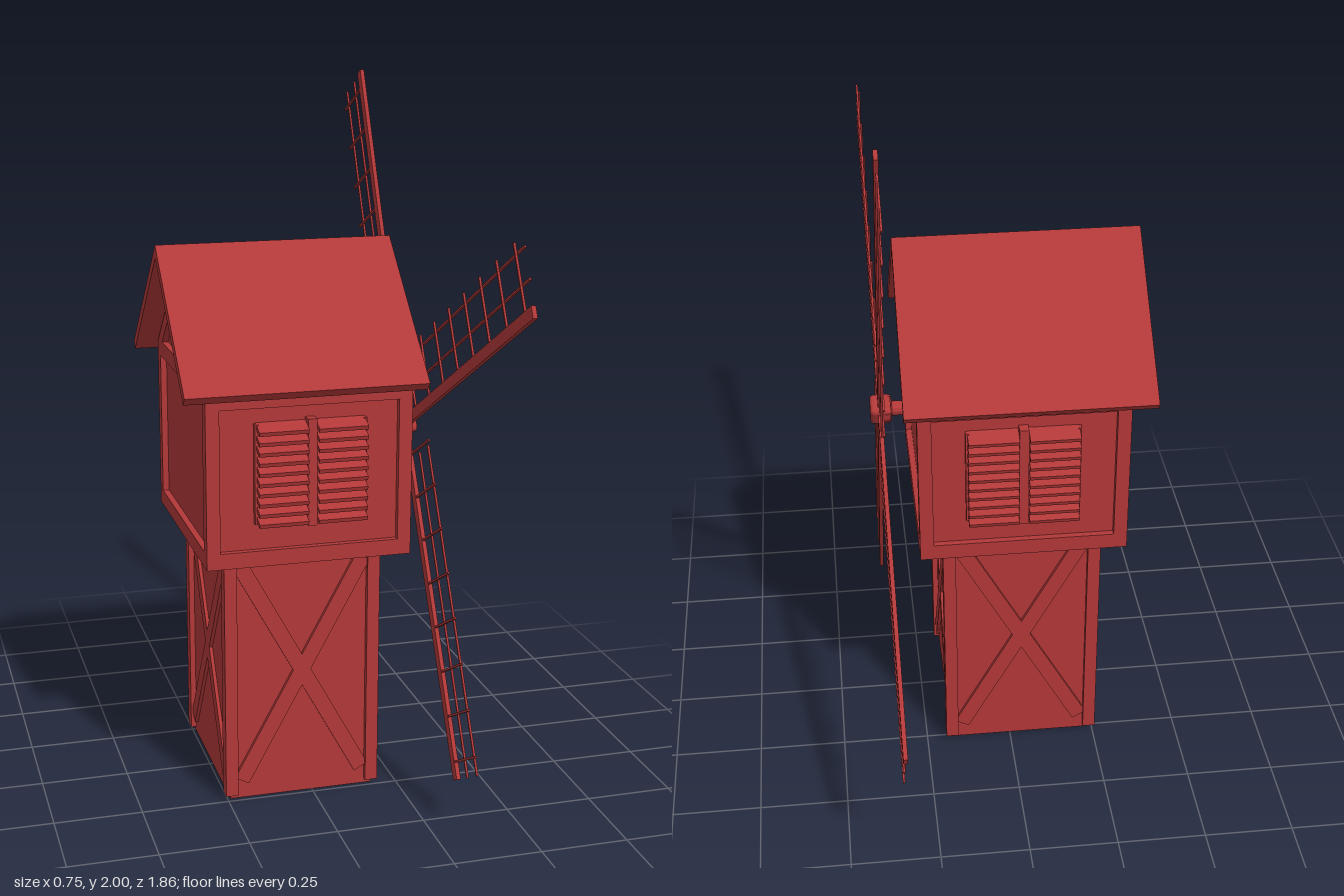
import * as THREE from 'three';
import { RoundedBoxGeometry } from 'three/addons/geometries/RoundedBoxGeometry.js';

const red = new THREE.MeshStandardMaterial({ color: 0xb23838, flatShading: true });
const redShell = new THREE.MeshStandardMaterial({ color: 0xb23838, flatShading: true, side: THREE.DoubleSide });

function add(parent, name, geometry, x = 0, y = 0, z = 0, material = red) {
  const mesh = new THREE.Mesh(geometry, material);
  mesh.name = name;
  mesh.position.set(x, y, z);
  parent.add(mesh);
  return mesh;
}

const box = (parent, name, w, h, d, x, y, z) =>
  add(parent, name, new THREE.BoxGeometry(w, h, d), x, y, z);

function group(parent, name, x = 0, y = 0, z = 0) {
  const g = new THREE.Group();
  g.name = name;
  g.position.set(x, y, z);
  parent.add(g);
  return g;
}

// Extrudes a (-z, y) outline along x, from x0 to x1
function alongX(points, x0, x1) {
  const shape = new THREE.Shape(points.map(([u, v]) => new THREE.Vector2(u, v)));
  return new THREE.ExtrudeGeometry(shape, { depth: x1 - x0, bevelEnabled: false })
    .translate(0, 0, x0).rotateY(Math.PI / 2);
}

// Upside-down V outline; (dx, dy) sets how the lower ends are cut
function chevron(half, top, eave, drop, dx, dy) {
  return [[-half + dx, eave - dy], [0, top - drop], [half - dx, eave - dy],
    [half, eave], [0, top], [-half, eave]];
}

function buildTower(root) {
  const tower = group(root, 'tower', -0.032, 0, -0.012);
  const hx = 0.225, hz = 0.262, h = 0.71, inset = 0.016;
  // Open-bottomed wall shell
  const [wx, wz] = [hx - inset, hz - inset];
  const walls = new THREE.CylinderGeometry(Math.SQRT2, Math.SQRT2, 0.735, 4, 1, true)
    .rotateY(Math.PI / 4).scale(wx, 1, wz);
  add(tower, 'towerWalls', walls, 0, 0.3725, 0, redShell);
  for (const sx of [-1, 1]) for (const sz of [-1, 1])
    box(tower, 'cornerPost', 0.036, h, 0.04, sx * (hx - 0.018), 0.02 + h / 2, sz * (hz - 0.02));
  // Crossed braces on all four sides
  const sides = [[0, hx, hz], [1, hz, hx], [2, hx, hz], [3, hz, hx]];
  for (const [turn, halfWidth, out] of sides) {
    const side = group(tower, 'crossBraces');
    side.rotation.y = turn * Math.PI / 2;
    const w = 2 * (halfWidth - 0.036), angle = Math.atan2(w, h - 0.02);
    for (const s of [-1, 1]) {
      const brace = box(side, 'brace', 0.045, Math.hypot(w, h - 0.02) - 0.05, 0.014, 0, 0.385, out - 0.013);
      brace.rotation.z = s * angle;
    }
  }
}

function buildShutters(cabin, s, wallZ) {
  const shutters = group(cabin, 'shutters', 0.003, 0, s * wallZ);
  box(shutters, 'shutterDivider', 0.026, 0.3, 0.035, 0, 0.99, s * 0.014);
  for (const sx of [-1, 1]) {
    box(shutters, 'shutterStile', 0.01, 0.28, 0.018, sx * 0.152, 0.99, s * 0.008);
    for (let i = 0; i < 10; i++) {
      const slat = box(shutters, 'slat', 0.138, 0.012, 0.05, sx * 0.083, 0.862 + i * 0.0285, s * 0.024);
      slat.rotation.x = s * 0.35;
    }
  }
}

function buildCabin(root) {
  const cabin = group(root, 'cabin', -0.029, 0, -0.014);
  const hx = 0.289, hz = 0.327, y0 = 0.73, y1 = 1.215, inset = 0.018, b = 0.038;
  const ix = hx - inset, iz = hz - inset;
  // Walls with both gables in one body
  add(cabin, 'cabinWalls',
    alongX([[-iz, y0], [iz, y0], [iz, 1.235], [0, 1.53], [-iz, 1.235]], -ix, ix));
  const midY = (y0 + y1) / 2;
  for (const sx of [-1, 1]) for (const sz of [-1, 1])
    box(cabin, 'cornerBoard', b, y1 - y0, b, sx * (hx - b / 2), midY, sz * (hz - b / 2));
  for (const s of [-1, 1]) {
    // Rails of the long sides and of the gable ends
    box(cabin, 'bottomRail', 2 * (hx - b), 0.045, b, 0, y0 + 0.0225, s * (hz - b / 2));
    box(cabin, 'topRail', 2 * (hx - b), 0.04, b, 0, 1.195, s * (hz - b / 2));
    box(cabin, 'endBottomRail', b, 0.045, 2 * (hz - b), s * (hx - b / 2), y0 + 0.0225, 0);
    box(cabin, 'gableBeam', b, 0.046, 2 * (hz - 0.01), s * (hx - b / 2), 1.216, 0);
    const x = s * (hx - b / 2);
    add(cabin, 'gableBoards', alongX(chevron(0.325, 1.532, 1.23, 0.055, 0, 0.05), x - b / 2, x + b / 2));
    buildShutters(cabin, s, iz);
  }
  return cabin;
}

function buildSails(root) {
  const sails = group(root, 'sails', 0.345, 1.02, 0);
  // Axle, collar and hub
  add(sails, 'axle', new THREE.CylinderGeometry(0.021, 0.021, 0.12, 12).rotateZ(Math.PI / 2), -0.07);
  add(sails, 'hubCollar', new THREE.CylinderGeometry(0.038, 0.038, 0.02, 16).rotateZ(Math.PI / 2), -0.02);
  const hub = add(sails, 'hub', new RoundedBoxGeometry(0.062, 0.066, 0.066, 2, 0.012), -0.003);
  hub.rotation.x = -0.48;
  // Four arms: [clockwise degrees from upright, length]
  for (const [degrees, length] of [[25.8, 1.084], [118.5, 1.045], [209.2, 1.033], [298.8, 1.054]]) {
    const sail = group(sails, 'sail');
    sail.rotation.x = -degrees * Math.PI / 180;
    box(sail, 'sailArm', 0.012, length, 0.032, 0, length / 2, 0);
    // Lattice of thin bars on the trailing side
    for (const offset of [0.082, 0.163])
      box(sail, 'latticeLong', 0.006, length - 0.11, 0.006, 0.003, 0.11 + (length - 0.11) / 2, -offset);
    for (let i = 0; i < 8; i++)
      box(sail, 'latticeBar', 0.006, 0.006, 0.19, -0.002, length - 0.05 - i * 0.126, -0.095);
  }
}

export function createModel() {
  const root = new THREE.Group();
  root.name = 'windmill';
  buildTower(root);
  buildCabin(root);
  // Gabled roof with overhanging eaves
  add(root, 'roof', alongX(chevron(0.372, 1.568, 1.222, 0.036, 0.018, 0.021), -0.38, 0.297), 0, 0, -0.025);
  buildSails(root);
  return root;
}
